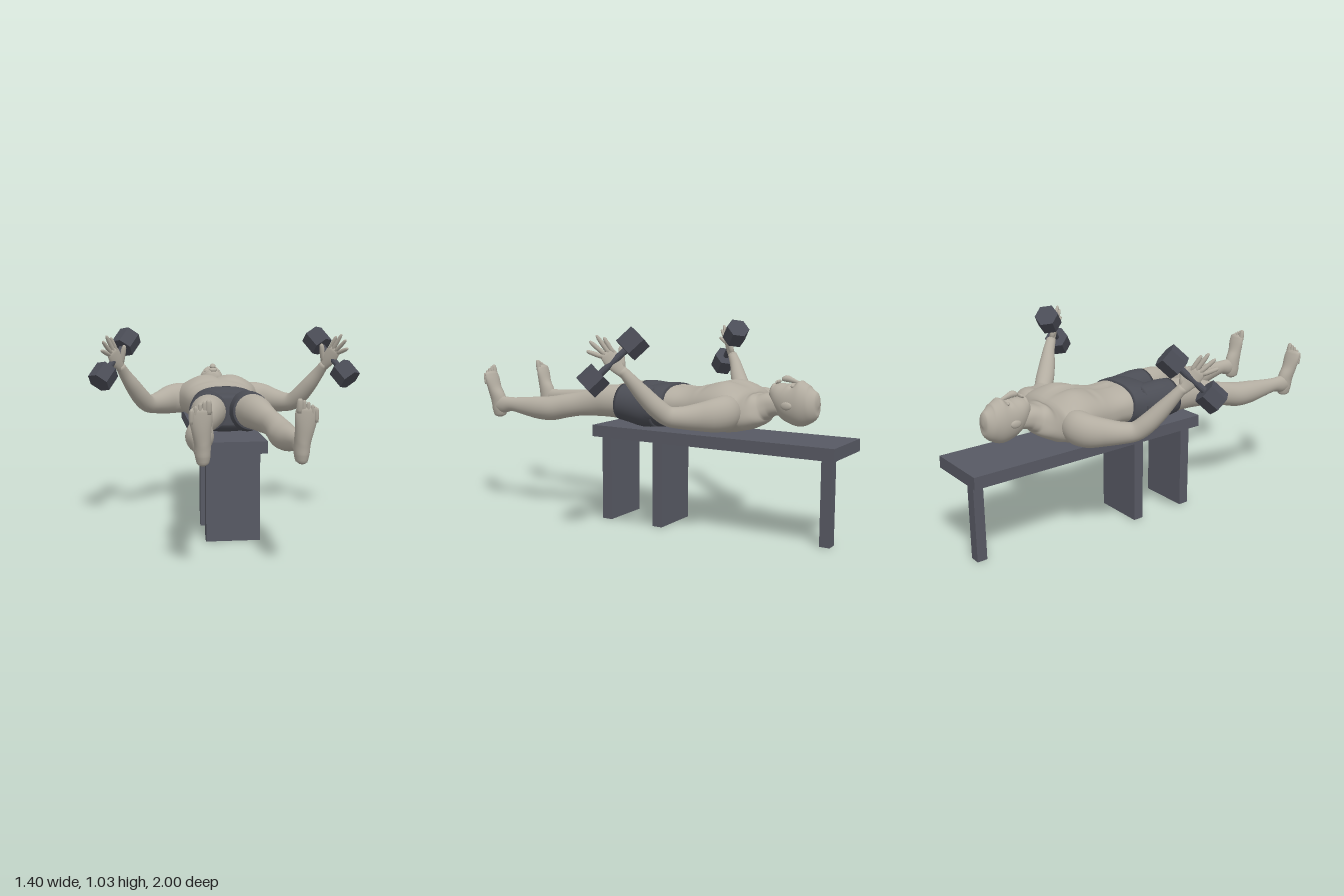
import * as THREE from 'three';

const mat = (name, color) => Object.assign(new THREE.MeshStandardMaterial({ color }), { name });
const skin = mat('skin', 0xb3ada1);
const cloth = mat('shorts cloth', 0x4b4d55);
const iron = mat('iron', 0x4b4d57);
const board = mat('bench board', 0x575963);

const V = (p) => new THREE.Vector3(p[0], p[1], p[2]);
const bump = (d, w) => Math.exp(-(d * d) / (w * w));

// Smooth closed loft through rings [x, y, z, radiusU, radiusV]; power > 2 squares the section
function loft(rings, { ref = [0, 1, 0], sides = 24, steps = 4, power = 2, deform } = {}) {
  const path = new THREE.CatmullRomCurve3(rings.map(V));
  const size = new THREE.CatmullRomCurve3(rings.map((r) => new THREE.Vector3(r[3], r[4], 0)));
  const n = (rings.length - 1) * steps;
  const pos = [];
  const idx = [];
  const pw = (c) => Math.sign(c) * Math.abs(c) ** (2 / power);
  for (let i = 0; i <= n; i++) {
    const c = path.getPoint(i / n);
    const s = size.getPoint(i / n);
    const t = path.getTangent(i / n);
    const u = V(ref).cross(t).normalize();
    const v = t.clone().cross(u);
    for (let j = 0; j < sides; j++) {
      const a = (j / sides) * Math.PI * 2;
      const p = c.clone().addScaledVector(u, pw(Math.cos(a)) * s.x).addScaledVector(v, pw(Math.sin(a)) * s.y);
      if (deform) deform(p);
      pos.push(p.x, p.y, p.z);
      if (i < n) {
        const k = i * sides + j;
        const l = i * sides + ((j + 1) % sides);
        idx.push(k, l, k + sides, l, l + sides, k + sides);
      }
    }
  }
  const last = n * sides;
  const capA = pos.length / 3;
  pos.push(...path.getPoint(0).toArray(), ...path.getPoint(1).toArray());
  for (let j = 0; j < sides; j++) {
    const l = (j + 1) % sides;
    idx.push(capA, l, j, capA + 1, last + j, last + l);
  }
  const g = new THREE.BufferGeometry();
  g.setAttribute('position', new THREE.Float32BufferAttribute(pos, 3));
  g.setIndex(idx);
  g.computeVertexNormals();
  return g;
}

// Flat-sided rod between two points
function rod(a, b, r, sides) {
  const d = V(b).sub(V(a));
  const g = new THREE.CylinderGeometry(r, r, d.length(), sides).toNonIndexed();
  g.computeVertexNormals();
  g.applyQuaternion(new THREE.Quaternion().setFromUnitVectors(new THREE.Vector3(0, 1, 0), d.normalize()));
  const m = V(a).add(V(b)).multiplyScalar(0.5);
  return g.translate(m.x, m.y, m.z);
}

const ball = (x, y, z, rx, ry, rz) => new THREE.SphereGeometry(1, 20, 14).scale(rx, ry, rz).translate(x, y, z);

// Tapered, round-ended finger or toe
function digit(a, b, r, ref) {
  const at = (k, f) => [...V(a).lerp(V(b), k).toArray(), r * f, r * f];
  return loft([at(0, 1), at(0.45, 1.05), at(0.85, 0.85), at(0.97, 0.5), at(1, 0.1)], { ref, sides: 10, steps: 2 });
}

// Mirror across x, keeping faces outward
function mirrored(geo) {
  const g = geo.clone().scale(-1, 1, 1);
  if (!g.index) g.setIndex([...Array(g.attributes.position.count).keys()]);
  const ix = g.index.array;
  for (let i = 0; i < ix.length; i += 3) [ix[i], ix[i + 1]] = [ix[i + 1], ix[i]];
  return g;
}

export function createModel() {
  const root = new THREE.Group();
  const add = (name, geo, m) => {
    const mesh = new THREE.Mesh(geo, m);
    mesh.name = name;
    root.add(mesh);
  };
  const pair = (name, geo, m) => {
    add(name + 'Left', geo, m);
    add(name + 'Right', mirrored(geo), m);
  };
  const box = (name, w, h, d, y, z) => add(name, new THREE.BoxGeometry(w, h, d).translate(0, y, z), board);

  // Bench
  box('benchTop', 0.33, 0.06, 1.33, 0.47, -0.335);
  box('benchFrontPanel', 0.266, 0.44, 0.055, 0.22, 0.263);
  box('benchMiddlePanel', 0.266, 0.44, 0.055, 0.22, -0.047);
  box('benchHeadPost', 0.055, 0.44, 0.052, 0.22, -0.911);

  // Torso: z, underside, top, half width
  const body = (rows) => rows.map(([z, lo, hi, w]) => [0, (lo + hi) / 2, z, w, (hi - lo) / 2]);
  const muscles = (p) => {
    if (p.y < 0.64) return;
    const ax = Math.abs(p.x);
    p.y += 0.014 * bump(ax - 0.09, 0.07) * bump(p.z + 0.41, 0.07);
    p.y -= 0.012 * bump(ax, 0.016) * bump(p.z + 0.4, 0.09);
    p.y -= 0.005 * bump(ax, 0.012) * bump(p.z + 0.22, 0.1);
    p.y -= 0.007 * bump(ax - 0.09, 0.06) * bump(p.z + 0.3, 0.02);
    p.y -= 0.008 * bump(ax, 0.012) * bump(p.z + 0.14, 0.012);
  };
  add('torso', loft(body([
    [-0.67, 0.61, 0.705, 0.055], [-0.61, 0.595, 0.712, 0.066], [-0.575, 0.575, 0.705, 0.082],
    [-0.55, 0.55, 0.71, 0.15], [-0.52, 0.53, 0.722, 0.212], [-0.46, 0.514, 0.742, 0.232],
    [-0.4, 0.508, 0.75, 0.218], [-0.33, 0.508, 0.745, 0.199], [-0.25, 0.515, 0.725, 0.18],
    [-0.17, 0.53, 0.715, 0.166], [-0.1, 0.525, 0.72, 0.165], [-0.07, 0.53, 0.71, 0.16],
  ]), { sides: 64, steps: 6, power: 2.4, deform: muscles }), skin);

  // Shorts
  add('shortsSeat', loft(body([
    [-0.107, 0.521, 0.727, 0.169], [-0.06, 0.508, 0.729, 0.178], [0, 0.502, 0.722, 0.187],
    [0.05, 0.51, 0.71, 0.185], [0.085, 0.55, 0.68, 0.15],
  ]), { sides: 40, power: 2.5 }), cloth);
  pair('shortsLeg', loft([
    [0.095, 0.612, -0.03, 0.088, 0.1], [0.098, 0.612, 0.04, 0.095, 0.105],
    [0.104, 0.622, 0.11, 0.096, 0.1], [0.108, 0.627, 0.178, 0.094, 0.092],
  ], { sides: 32 }), cloth);

  // Legs
  pair('leg', loft([
    [0.107, 0.627, 0.15, 0.09, 0.088], [0.122, 0.627, 0.25, 0.079, 0.083], [0.138, 0.618, 0.33, 0.064, 0.074],
    [0.163, 0.603, 0.42, 0.053, 0.062], [0.179, 0.588, 0.5, 0.057, 0.062], [0.189, 0.572, 0.58, 0.065, 0.064],
    [0.196, 0.57, 0.66, 0.058, 0.06], [0.205, 0.574, 0.75, 0.042, 0.048], [0.211, 0.578, 0.84, 0.033, 0.038],
    [0.211, 0.572, 0.9, 0.033, 0.046], [0.211, 0.57, 0.95, 0.028, 0.04],
  ]), skin);

  // Feet with toes
  pair('foot', loft([
    [0.205, 0.504, 0.932, 0.01, 0.016], [0.206, 0.514, 0.932, 0.025, 0.035], [0.207, 0.55, 0.93, 0.033, 0.046],
    [0.209, 0.6, 0.936, 0.035, 0.046], [0.214, 0.655, 0.956, 0.041, 0.033], [0.218, 0.71, 0.969, 0.049, 0.024],
    [0.219, 0.74, 0.976, 0.046, 0.017], [0.219, 0.752, 0.978, 0.03, 0.009],
  ], { ref: [0, 0, 1] }), skin);
  for (let i = 0; i < 5; i++) {
    const x = 0.187 + i * 0.0175;
    const top = 0.785 - i * 0.005 - i * i * 0.0012;
    pair('toe' + (i + 1), digit([x, top - 0.06, 0.977], [x, top, 0.987], i ? 0.0095 : 0.0135, [0, 0, 1]), skin);
  }

  // Arms
  pair('arm', loft([
    [0.14, 0.63, -0.465, 0.06, 0.07], [0.21, 0.626, -0.468, 0.074, 0.084], [0.262, 0.62, -0.447, 0.07, 0.08],
    [0.31, 0.614, -0.388, 0.06, 0.066], [0.357, 0.612, -0.327, 0.052, 0.053], [0.396, 0.62, -0.276, 0.046, 0.047],
    [0.432, 0.66, -0.236, 0.048, 0.046], [0.475, 0.725, -0.19, 0.042, 0.04], [0.515, 0.79, -0.15, 0.031, 0.03],
    [0.54, 0.838, -0.117, 0.025, 0.023],
  ]), skin);

  // Hands with spread fingers
  const back = [0.585, 0.105, -0.63];
  pair('palm', loft([
    [0.53, 0.815, -0.13, 0.022, 0.019], [0.547, 0.85, -0.103, 0.033, 0.017], [0.562, 0.88, -0.083, 0.04, 0.016],
    [0.575, 0.91, -0.065, 0.037, 0.013], [0.58, 0.922, -0.059, 0.026, 0.008],
  ], { ref: back }), skin);
  const tips = [[0.585, 0.987, -0.05], [0.607, 0.997, -0.025], [0.625, 0.97, 0], [0.632, 0.925, 0.012]];
  tips.forEach((tip, i) => {
    const k = -0.026 + i * 0.0175;
    pair('finger' + (i + 1), digit([0.575 + 0.72 * k, 0.907 - 0.31 * k, -0.066 + 0.62 * k], tip, 0.0105, back), skin);
  });
  pair('thumb', digit([0.533, 0.85, -0.118], [0.515, 0.945, -0.095], 0.014, back), skin);

  // Dumbbells
  const a = V([0.505, 0.958, -0.155]);
  const b = V([0.625, 0.792, -0.018]);
  const along = (k) => a.clone().lerp(b, k).toArray();
  pair('dumbbellHandle', rod(along(0), along(1), 0.016, 12), iron);
  pair('dumbbellUpperHead', rod(along(-0.19), along(0.19), 0.063, 6), iron);
  pair('dumbbellLowerHead', rod(along(0.81), along(1.19), 0.063, 6), iron);

  // Head with eye sockets, brow and mouth
  const face = (p) => {
    if (p.y < 0.7) return;
    const ax = Math.abs(p.x);
    p.y -= 0.012 * bump(ax - 0.031, 0.016) * bump(p.z + 0.735, 0.013);
    p.y += 0.005 * bump(ax - 0.028, 0.025) * bump(p.z + 0.762, 0.012);
    p.y -= 0.006 * bump(ax, 0.028) * bump(p.z + 0.638, 0.007);
    p.y += 0.006 * bump(ax, 0.02) * bump(p.z + 0.622, 0.012);
  };
  add('head', loft([
    [0, 0.675, -0.857, 0.008, 0.012], [0, 0.675, -0.848, 0.038, 0.052], [0, 0.67, -0.815, 0.064, 0.088],
    [0, 0.668, -0.765, 0.075, 0.108], [0, 0.675, -0.72, 0.074, 0.1], [0, 0.692, -0.68, 0.069, 0.081],
    [0, 0.714, -0.645, 0.056, 0.055], [0, 0.727, -0.622, 0.038, 0.034], [0, 0.731, -0.611, 0.014, 0.014],
  ], { sides: 64, steps: 7, deform: face }), skin);
  add('nose', loft([
    [0, 0.766, -0.752, 0.007, 0.008], [0, 0.776, -0.72, 0.01, 0.012], [0, 0.783, -0.69, 0.017, 0.016],
    [0, 0.779, -0.676, 0.016, 0.012], [0, 0.773, -0.67, 0.006, 0.005],
  ], { sides: 16 }), skin);
  add('upperLip', ball(0, 0.768, -0.652, 0.023, 0.009, 0.006), skin);
  add('lowerLip', ball(0, 0.764, -0.642, 0.02, 0.009, 0.006), skin);
  pair('eyelid', ball(0.031, 0.752, -0.735, 0.014, 0.009, 0.009), skin);
  pair('ear', ball(0.075, 0.662, -0.722, 0.01, 0.019, 0.028), skin);

  return root;
}
